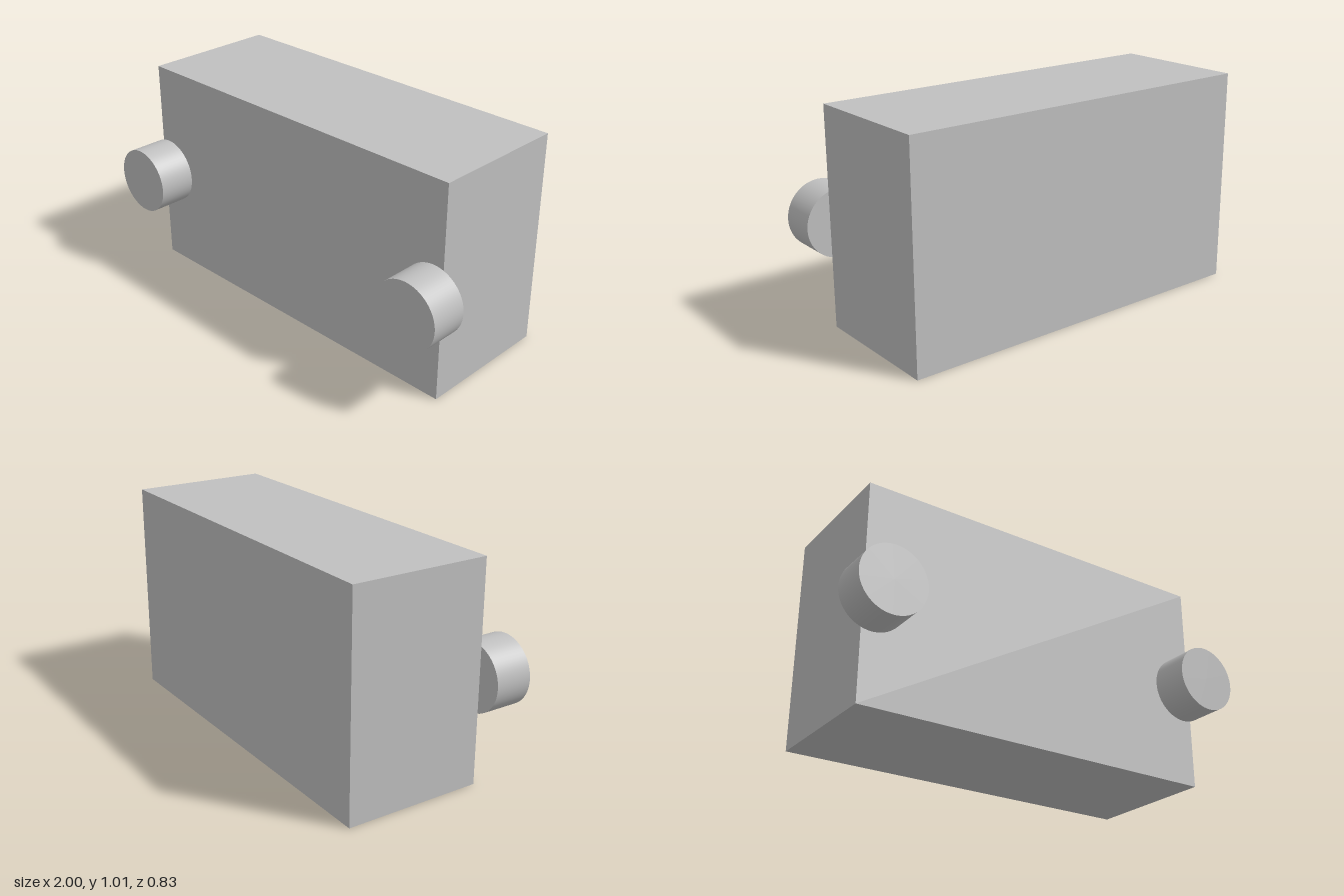
import * as THREE from 'three';

export function createModel() {
  const model = new THREE.Group();
  const grey = new THREE.MeshStandardMaterial({ color: 0xc0c0c0 });
  grey.name = 'light grey';

  const height = 1.015, back = -0.413, face = 0.236, front = 0.413;

  // Rectangular main block
  const body = new THREE.Mesh(new THREE.BoxGeometry(1.78, height, face - back), grey);
  body.name = 'body';
  body.position.set(0, height / 2, (face + back) / 2);
  model.add(body);

  // Round pegs on the front face, overhanging each side
  const radius = 0.157;
  const pegGeometry = new THREE.CylinderGeometry(radius, radius, front - face, 64).rotateX(Math.PI / 2);
  for (const side of [-1, 1]) {
    const peg = new THREE.Mesh(pegGeometry, grey);
    peg.name = side > 0 ? 'leftPeg' : 'rightPeg';
    peg.position.set(side * (1 - radius), 0.48, (face + front) / 2);
    model.add(peg);
  }
  return model;
}
